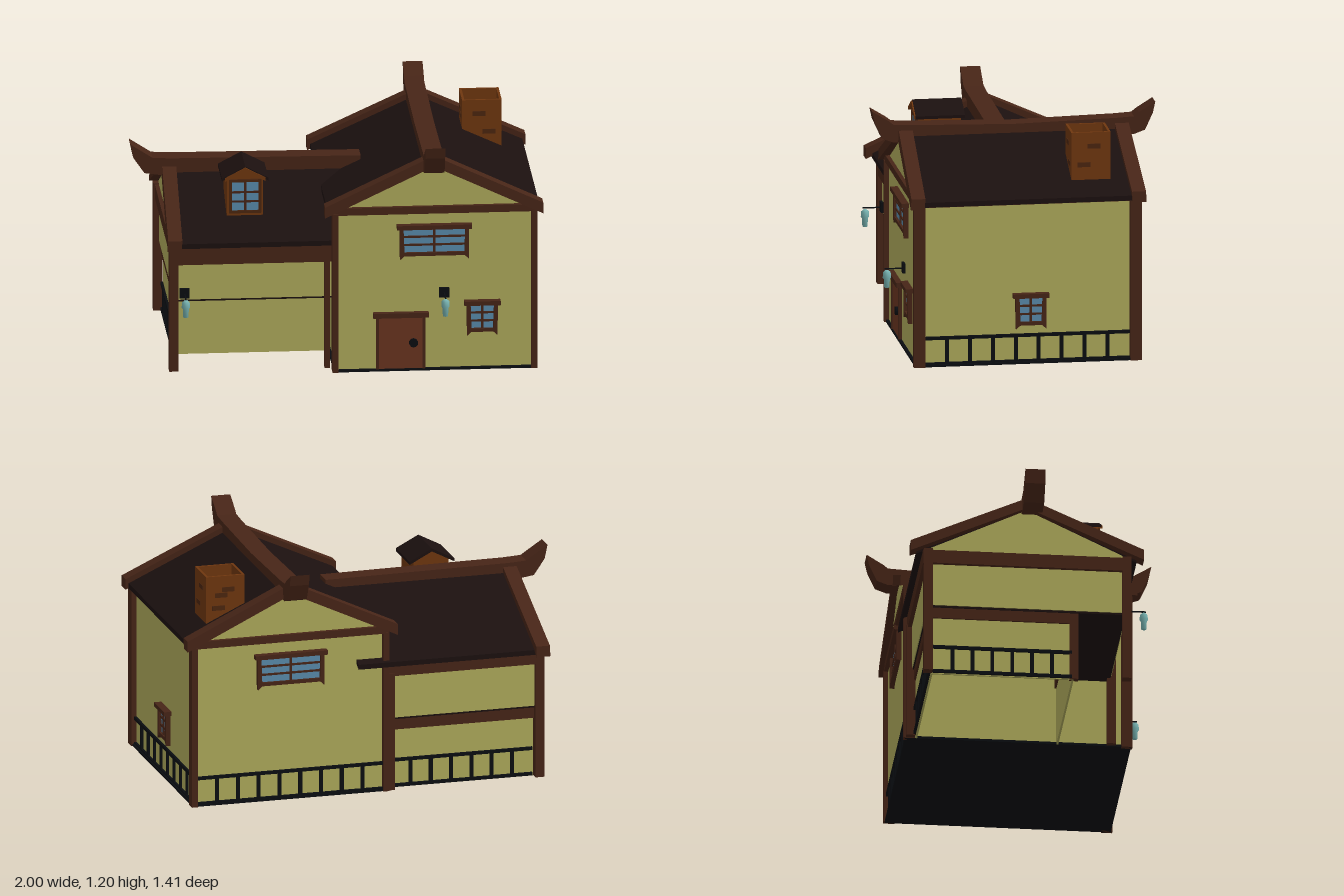
import * as THREE from 'three';

const mat = (color, side = THREE.FrontSide) => new THREE.MeshStandardMaterial({ color, side });
const M = {
  wall: mat(0xb0ac5c, THREE.DoubleSide), wood: mat(0x472517), roof: mat(0x1b100f),
  black: mat(0x0a0d11), brick: mat(0x70370f), darkBrick: mat(0x4c260f),
  door: mat(0x6b3520), glass: mat(0x5a8cad), lantern: mat(0x78b4b2),
};

export function createModel() {
  const root = new THREE.Group();
  const add = (name, geo, m, parent = root) => {
    const mesh = new THREE.Mesh(geo, m);
    mesh.name = name;
    parent.add(mesh);
    return mesh;
  };
  // box given by its min and max on each axis
  const box = (name, m, x0, x1, y0, y1, z0, z1, parent) =>
    add(name, new THREE.BoxGeometry(x1 - x0, y1 - y0, z1 - z0)
      .translate((x0 + x1) / 2, (y0 + y1) / 2, (z0 + z1) / 2), m, parent);
  // outline extruded along z (points are x,y) or along x (points are z,y)
  const prism = (name, m, pts, axis, a, b, parent) => {
    const shape = new THREE.Shape(pts.map(p => new THREE.Vector2(...p)));
    const geo = new THREE.ExtrudeGeometry(shape, { depth: b - a, bevelEnabled: false });
    if (axis === 'x') geo.rotateY(-Math.PI / 2).translate(b, 0, 0);
    else geo.translate(0, 0, a);
    return add(name, geo, m, parent);
  };
  // inverted V band: centre, half span, apex height, eave height, vertical thickness
  const chevron = (c, half, top, eave, t) => [
    [c - half, eave], [c - half, eave - t], [c, top - t], [c + half, eave - t], [c + half, eave], [c, top]];
  // shifts a prism sideways as it rises
  const lean = (mesh, axis, amount, y0) => {
    const p = mesh.geometry.attributes.position;
    for (let i = 0; i < p.count; i++) {
      const d = amount * (p.getY(i) - y0);
      if (axis === 'x') p.setX(i, p.getX(i) + d); else p.setZ(i, p.getZ(i) + d);
    }
    mesh.geometry.computeVertexNormals();
  };

  // ---- main house ----
  const C = 0.46;
  box('mainFloor', M.black, -0.035, 0.965, 0, 0.012, -0.56, 0.56);
  prism('mainWalls', M.wall, [[-0.022, 0.012], [0.945, 0.012], [0.945, 0.83], [C, 1.06], [-0.022, 0.83]], 'z', -0.545, 0.545);
  prism('mainRoof', M.roof, chevron(C, 0.525, 1.085, 0.84, 0.025), 'z', -0.53, 0.53);
  for (const s of [-1, 1]) {
    for (const x of [-0.026, 0.957])
      box('mainPost', M.wood, x - 0.015, x + 0.015, 0, 0.82, s * 0.54 - 0.028, s * 0.54 + 0.028);
    box('gableBeam', M.wood, -0.04, 0.975, 0.813, 0.85, s * 0.55 - 0.015, s * 0.55 + 0.015);
    const trim = prism('gableTrim', M.wood, chevron(C, 0.54, 1.115, 0.863, 0.055), 'z', s * 0.553 - 0.035, s * 0.553 + 0.035);
    lean(trim, 'z', -s * 0.05, 0.81);
  }
  for (const x of [-0.03, 0.955])
    box('eaveBeam', M.wood, x - 0.015, x + 0.015, 0.81, 0.845, -0.53, 0.53);
  const half = [[0.51, 1.12], [0.6, 1.125], [0.625, 1.145], [0.706, 1.195], [0.694, 1.14], [0.655, 1.055], [0.6, 1.035]];
  prism('mainRidge', M.wood, [[0, 1.108], ...half, [0, 1.025],
    ...half.map(([z, y]) => [-z, y]).reverse()], 'x', 0.408, 0.506);

  // ---- side wing ----
  const W = -0.035;
  prism('wingUpperWalls', M.wall, [[-0.53, 0.365], [0.46, 0.365], [0.46, 0.665], [W, 0.9], [-0.53, 0.665]], 'x', -0.815, -0.02);
  box('wingUnderside', M.roof, -0.81, -0.03, 0.355, 0.366, -0.525, 0.455);
  prism('wingRoof', M.roof, chevron(W, 0.545, 0.925, 0.668, 0.025), 'x', -0.81, 0.12);
  lean(prism('wingGableTrim', M.wood, chevron(W, 0.578, 0.955, 0.695, 0.055), 'x', -0.855, -0.785), 'x', 0.045, 0.64);
  prism('wingRidge', M.wood, [[0.14, 0.955], [-0.8, 0.963], [-0.89, 0.968], [-1, 1.04], [-0.985, 0.97],
    [-0.93, 0.89], [-0.85, 0.878], [0.14, 0.885]], 'x' === 'z' ? 'x' : 'z', -0.06, 0.04);
  box('wingFrontBeam', M.wood, -0.825, -0.04, 0.55, 0.66, 0.45, 0.48);
  box('wingBackBeam', M.wood, -0.825, -0.04, 0.585, 0.66, -0.55, -0.52);
  box('wingSideBeam', M.wood, -0.835, -0.8, 0.585, 0.655, -0.53, 0.46);
  // lower storey, set back at the front and open underneath
  box('wingLowerFront', M.wall, -0.785, -0.03, 0, 0.305, 0.19, 0.2);
  box('wingLowerBack', M.wall, -0.785, -0.03, 0, 0.305, -0.51, -0.5);
  box('wingLowerSide', M.wall, -0.795, -0.785, 0, 0.305, -0.51, 0.2);
  box('wingMidBeam', M.wood, -0.8, -0.04, 0.3, 0.36, 0.18, 0.215);
  box('wingMidBeam', M.wood, -0.8, -0.04, 0.3, 0.36, -0.52, -0.49);
  box('wingMidBeam', M.wood, -0.805, -0.77, 0.3, 0.36, -0.515, 0.21);
  for (const [x, z, w, h] of [[-0.82, 0.46, 0.045, 0.66], [-0.82, -0.525, 0.045, 0.66],
    [-0.06, 0.46, 0.028, 0.6], [-0.06, -0.535, 0.028, 0.6], [-0.79, 0.2, 0.03, 0.36]])
    box('wingPost', M.wood, x - w / 2, x + w / 2, 0, h, z - 0.022, z + 0.022);

  // ---- low railings ----
  const fence = (len, n, x, z, turn) => {
    const g = new THREE.Group();
    g.name = 'railing';
    for (const y of [0.004, 0.135]) box('rail', M.black, -len / 2, len / 2, y, y + 0.016, -0.008, 0.008, g);
    for (let i = 1; i <= n; i++) {
      const p = -len / 2 + i * len / (n + 1);
      box('baluster', M.black, p - 0.009, p + 0.009, 0.01, 0.14, -0.007, 0.007, g);
    }
    g.position.set(x, 0, z);
    g.rotation.y = turn;
    root.add(g);
  };
  fence(1.03, 8, 0.949, 0, Math.PI / 2);
  fence(0.96, 8, 0.465, -0.549, Math.PI);
  fence(0.73, 6, -0.425, -0.514, Math.PI);
  fence(0.69, 6, -0.799, -0.155, -Math.PI / 2);

  // ---- windows: origin at the middle of the header's top edge, facing +z ----
  const windowUnit = (w, h, rows, x, y, z, turn) => {
    const g = new THREE.Group();
    g.name = 'window';
    const a = w / 2;
    box('glass', M.glass, -a, a, -h + 0.025, -0.01, -0.01, 0.008, g);
    box('header', M.wood, -a - 0.015, a + 0.015, -0.022, 0, -0.01, 0.035, g);
    box('sill', M.wood, -a, a, -h + 0.018, -h + 0.036, -0.01, 0.02, g);
    box('mullion', M.wood, -0.006, 0.006, -h + 0.03, -0.02, -0.01, 0.015, g);
    for (let i = 1; i < rows; i++) {
      const p = -0.022 - i * (h - 0.055) / rows;
      box('glazingBar', M.wood, -a, a, p - 0.005, p + 0.005, -0.01, 0.014, g);
    }
    for (const s of [-1, 1]) {
      const pts = [[a - 0.017, -0.02], [a - 0.022, -h + 0.02], [a, -h], [a + 0.002, -0.02]].map(([u, v]) => [s * u, v]);
      prism('jamb', M.wood, pts, 'z', -0.01, 0.022, g);
    }
    g.position.set(x, y, z);
    g.rotation.y = turn;
    root.add(g);
  };
  windowUnit(0.34, 0.18, 3, 0.463, 0.757, 0.547, 0);
  windowUnit(0.34, 0.18, 3, 0.463, 0.757, -0.547, Math.PI);
  windowUnit(0.15, 0.18, 3, 0.7, 0.357, 0.547, 0);
  windowUnit(0.15, 0.18, 3, 0.947, 0.357, -0.017, Math.PI / 2);

  // ---- door ----
  box('door', M.door, 0.185, 0.41, 0.012, 0.28, 0.54, 0.555);
  for (const x of [0.175, 0.405]) box('doorJamb', M.wood, x, x + 0.014, 0.012, 0.28, 0.54, 0.563);
  box('doorHeader', M.wood, 0.16, 0.435, 0.278, 0.303, 0.54, 0.575);
  add('doorKnob', new THREE.CylinderGeometry(0.022, 0.022, 0.02, 10).rotateX(Math.PI / 2).translate(0.36, 0.145, 0.56), M.black);

  // ---- hanging lanterns ----
  for (const [x, z] of [[0.512, 0.546], [-0.766, 0.462]]) {
    const g = new THREE.Group();
    g.name = 'hangingLantern';
    box('plate', M.black, -0.025, 0.025, 0.375, 0.425, -0.005, 0.012, g);
    box('rod', M.black, -0.003, 0.003, 0.394, 0.4, 0, 0.1, g);
    const profile = [[0, 0.303], [0.013, 0.303], [0.015, 0.345], [0.021, 0.352], [0.019, 0.38], [0.008, 0.39], [0, 0.39]];
    add('shade', new THREE.LatheGeometry(profile.map(p => new THREE.Vector2(...p)), 8).translate(0, 0, 0.088), M.lantern, g);
    g.position.set(x, 0, z);
    root.add(g);
  }

  // ---- dormer ----
  const D = -0.457;
  prism('dormerWalls', M.brick, [[D - 0.09, 0.758], [D + 0.09, 0.758], [D + 0.09, 0.95], [D, 1], [D - 0.09, 0.95]], 'z', 0.13, 0.345);
  prism('dormerRoof', M.roof, chevron(D, 0.115, 1.015, 0.955, 0.015), 'z', 0.115, 0.36);
  prism('dormerGableTrim', M.brick, chevron(D, 0.1, 1.01, 0.957, 0.018), 'z', 0.345, 0.366);
  box('dormerGlass', M.glass, D - 0.067, D + 0.067, 0.785, 0.932, 0.34, 0.35);
  box('dormerMullion', M.wood, D - 0.006, D + 0.006, 0.785, 0.932, 0.34, 0.354);
  for (const y of [0.832, 0.88]) box('dormerBar', M.wood, D - 0.067, D + 0.067, y - 0.005, y + 0.005, 0.34, 0.354);
  for (const s of [-1, 1]) box('dormerJamb', M.darkBrick, D + s * 0.073 - 0.007, D + s * 0.073 + 0.007, 0.775, 0.935, 0.34, 0.356);
  for (const y of [0.772, 0.932]) box('dormerRail', M.darkBrick, D - 0.08, D + 0.08, y, y + 0.014, 0.34, 0.356);

  // ---- chimney, open at the top ----
  const X = 0.762, Z = -0.332, r = 0.098, t = 0.012;
  for (const s of [-1, 1]) {
    box('chimneyWall', M.brick, X + s * (r - t / 2) - t / 2, X + s * (r - t / 2) + t / 2, 0.87, 1.138, Z - r, Z + r);
    box('chimneyWall', M.brick, X - r, X + r, 0.87, 1.138, Z + s * (r - t / 2) - t / 2, Z + s * (r - t / 2) + t / 2);
    for (const [u, y] of [[-0.015, 1.068], [0.035, 0.975], [0.02, 1.04]].slice(0, s > 0 ? 2 : 3)) {
      box('chimneyBrick', M.darkBrick, X + s * r - 0.003, X + s * r + 0.003, y - 0.012, y + 0.012, Z + u - 0.032, Z + u + 0.032);
      box('chimneyBrick', M.darkBrick, X + u - 0.032, X + u + 0.032, y - 0.012, y + 0.012, Z + s * r - 0.003, Z + s * r + 0.003);
    }
  }
  return root;
}
